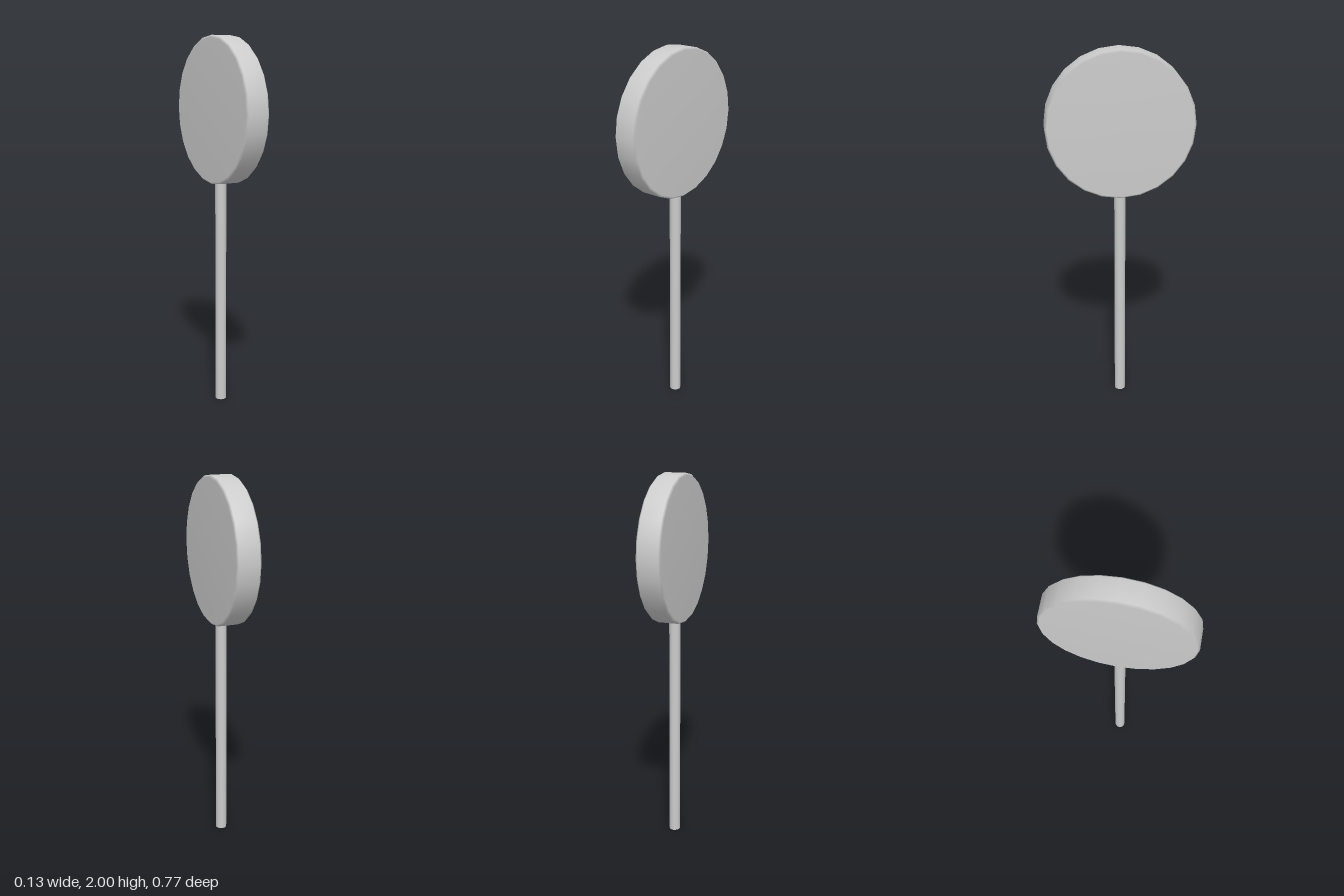
import * as THREE from 'three';

export function createModel() {
  const group = new THREE.Group();
  const material = new THREE.MeshStandardMaterial({ color: 0xcccccc });

  const add = (name, geometry, y) => {
    const mesh = new THREE.Mesh(geometry, material);
    mesh.name = name;
    mesh.position.y = y;
    group.add(mesh);
    return mesh;
  };

  // Round head: a chamfered disc whose axis runs left to right
  const R = 0.386, half = 0.065, bevel = 0.011;
  const profile = [
    [0, -half], [R - bevel, -half], [R, bevel - half],
    [R, half - bevel], [R - bevel, half], [0, half],
  ].map(([x, y]) => new THREE.Vector2(x, y));
  const disc = new THREE.LatheGeometry(profile, 24).rotateZ(Math.PI / 2);
  add('head', disc, 2 - R);

  // Straight stick, its top end sunk into the head
  const length = 1.25;
  add('stick', new THREE.CylinderGeometry(0.03, 0.03, length, 16), length / 2);

  return group;
}
